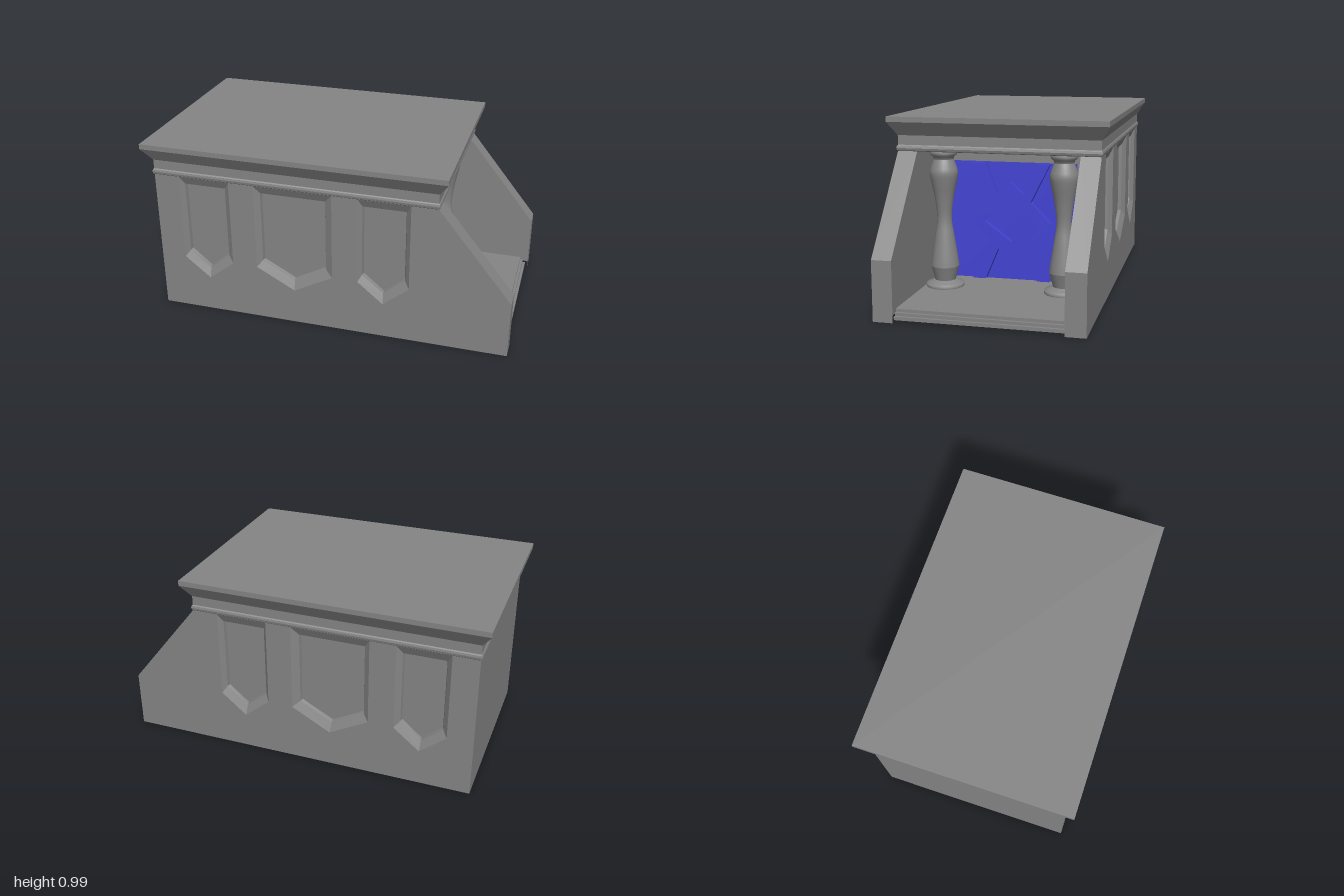
import * as THREE from 'three';

const STONE = 0x858585;
const grey = new THREE.MeshStandardMaterial({ color: STONE, side: THREE.DoubleSide, flatShading: true });
const smooth = new THREE.MeshStandardMaterial({ color: STONE, side: THREE.DoubleSide });
const blue = new THREE.MeshStandardMaterial({ color: 0x4343d6, flatShading: true });

function add(parent, name, geometry, material = grey) {
  const mesh = new THREE.Mesh(geometry, material);
  mesh.name = name;
  parent.add(mesh);
  return mesh;
}

// Box given by its limits
function box(parent, name, [x0, x1], [y0, y1], [z0, z1], material) {
  const mesh = add(parent, name, new THREE.BoxGeometry(x1 - x0, y1 - y0, z1 - z0), material);
  mesh.position.set((x0 + x1) / 2, (y0 + y1) / 2, (z0 + z1) / 2);
}

const toShape = (pts) => new THREE.Shape(pts.map(([x, y]) => new THREE.Vector2(x, y)));

// Flat sheet at a given z
function sheet(parent, name, shape, z) {
  add(parent, name, new THREE.ShapeGeometry(shape)).position.z = z;
}

// Flat-sided skin between rows of points; rows may be closed rings, rings of four may be capped
function loft(rows, { closed = true, capped = false } = {}) {
  const out = [];
  const quad = (a, b, c, d) => out.push(...a, ...b, ...c, ...a, ...c, ...d);
  for (let r = 0; r + 1 < rows.length; r++) {
    const a = rows[r], b = rows[r + 1];
    for (let i = 0; i < a.length - (closed ? 0 : 1); i++) {
      const j = (i + 1) % a.length;
      quad(a[i], a[j], b[j], b[i]);
    }
  }
  if (capped) {
    quad(...[...rows[0]].reverse());
    quad(...rows[rows.length - 1]);
  }
  const g = new THREE.BufferGeometry();
  g.setAttribute('position', new THREE.Float32BufferAttribute(out, 3));
  g.computeVertexNormals();
  return g;
}

// Level rectangle as a ring, counterclockwise from above
const rectRing = (x0, x1, z, y) => [[x1, y, z], [x1, y, -z], [x0, y, -z], [x0, y, z]];

// Pointed panel outline, counterclockwise
const pointed = (x0, x1, top, shoulder, tip) =>
  [[x0, shoulder], [(x0 + x1) / 2, tip], [x1, shoulder], [x1, top], [x0, top]];

// Hollow side wall, open below, with three bevelled, pointed recesses
function sideWall(name) {
  const wall = new THREE.Group();
  wall.name = name;
  const inner = 0.43, face = 0.535, step = 0.513, bed = 0.495;
  const edge = [[1, 0], [1, 0.315], [0.605, 0.803]];

  const front = toShape([[-0.95, 0], ...edge, [-0.95, 0.803]]);
  const panels = [[-0.81, -0.525, -0.785, -0.555], [-0.385, 0.045, -0.355, 0.005], [0.185, 0.465, 0.205, 0.44]];
  for (const [x0, x1, i0, i1] of panels) {
    const rim = pointed(x0, x1, 0.801, 0.315, 0.2);
    const lip = pointed(i0, i1, 0.755, 0.35, 0.255);
    const base = pointed(i0 + 0.006, i1 - 0.006, 0.75, 0.354, 0.261);
    front.holes.push(toShape(rim));
    const at = (pts, z) => pts.map(([x, y]) => [x, y, z]);
    add(wall, 'panelBevel', loft([at(rim, face), at(lip, step), at(base, bed)]));
    sheet(wall, 'panelBed', toShape(base), bed);
  }
  sheet(wall, 'wallFace', front, face);
  sheet(wall, 'wallInnerFace', toShape([[0.25, 0.04], [1, 0.04], ...edge.slice(1), [0.25, 0.803]]), inner);
  add(wall, 'wallEdge', loft([face, inner].map((z) => edge.map(([x, y]) => [x, y, z])), { closed: false }));
  return wall;
}

// Turned baluster column
function column() {
  const g = new THREE.Group();
  g.name = 'column';
  const points = (pts) => pts.map(([r, y]) => new THREE.Vector2(r, y));
  const lathe = (name, pts) => add(g, name, new THREE.LatheGeometry(pts, 24), smooth);
  lathe('columnBase', points([[0, 0.025], [0.085, 0.03], [0.1, 0.05], [0.103, 0.066], [0.101, 0.079], [0.08, 0.085], [0.056, 0.098]]));
  lathe('columnFoot', points([[0.056, 0.098], [0.064, 0.13], [0.076, 0.173]]));
  lathe('columnShaft', new THREE.SplineCurve(points([
    [0.076, 0.173], [0.07, 0.22], [0.053, 0.33], [0.039, 0.43], [0.05, 0.54], [0.068, 0.63],
    [0.075, 0.68], [0.066, 0.717], [0.053, 0.752],
  ])).getPoints(32));
  lathe('columnCapital', points([[0.053, 0.752], [0.056, 0.765], [0.069, 0.774], [0.071, 0.788], [0.066, 0.8], [0, 0.803]]));
  return g;
}

export function createModel() {
  const model = new THREE.Group();
  model.name = 'altarTable';

  // Walls
  const left = sideWall('frontWall');
  const right = sideWall('backWall');
  right.scale.z = -1;
  model.add(left, right);
  box(model, 'endWall', [-0.95, -0.945], [0, 0.803], [-0.534, 0.534]);

  // Moulded top: [outward offset, height]
  const profile = [[0, 0.802], [0.005, 0.806], [0.008, 0.818], [0.005, 0.829], [0, 0.835], [0, 0.885], [0.05, 0.957], [0.05, 0.985]];
  add(model, 'mouldedTop', loft(
    profile.map(([o, y]) => rectRing(-0.95 - o, 0.605 + o, 0.535 + o * 0.9, y)), { capped: true }));

  // Porch floor with a finely stepped front edge
  [[0.93, 0.985, 0.012, 0.03], [0.93, 0.97, 0.03, 0.046], [0.295, 0.955, 0.046, 0.062]].forEach(([x0, x1, y0, y1]) =>
    box(model, 'floorStep', [x0, x1], [y0, y1], [-0.43, 0.43]));

  // Frame around the decorated panel, columns and inner side walls of the hollow body
  for (const s of [-1, 1]) {
    const span = (a, b) => (s > 0 ? [a, b] : [-b, -a]);
    box(model, 'panelJamb', [0.2, 0.295], [0.06, 0.803], span(0.36, 0.43));
    box(model, 'innerSideWall', [-0.85, 0.2], [0.1, 0.803], span(0.36, 0.37));
    const c = column();
    c.position.set(0.49, 0, s * 0.325);
    model.add(c);
  }
  box(model, 'innerEndWall', [-0.86, -0.85], [0.1, 0.803], [-0.37, 0.37]);
  box(model, 'panelLintel', [0.2, 0.295], [0.718, 0.803], [-0.36, 0.36]);
  box(model, 'decoratedPanel', [0.2, 0.295], [0.05, 0.718], [-0.36, 0.36], blue);

  // Raised crossed straps with a diamond opening
  const half = [[0, 0.17], [0.072, 0.24], [0.145, 0.066], [0.215, 0.066], [0.11, 0.28],
    [0.22, 0.39], [0.11, 0.503], [0.215, 0.714], [0.142, 0.714], [0.074, 0.54], [0, 0.61]];
  const straps = toShape([...half, ...half.slice(1, -1).reverse().map(([x, y]) => [-x, y])]);
  straps.holes.push(toShape([[-0.148, 0.39], [0, 0.28], [0.148, 0.39], [0, 0.502]]));
  const strapMesh = add(model, 'crossedStraps', new THREE.ExtrudeGeometry(straps, { depth: 0.035, bevelEnabled: false }), blue);
  strapMesh.rotation.y = Math.PI / 2;
  strapMesh.position.x = 0.295;

  // Sloping underside frame around the hollow body
  add(model, 'undersideFrame', loft([
    rectRing(-0.7, 0.06, 0.27, 0.14), rectRing(-0.7, 0.06, 0.27, 0.1), rectRing(-0.87, 0.2, 0.43, 0.06),
  ]));

  return model;
}
